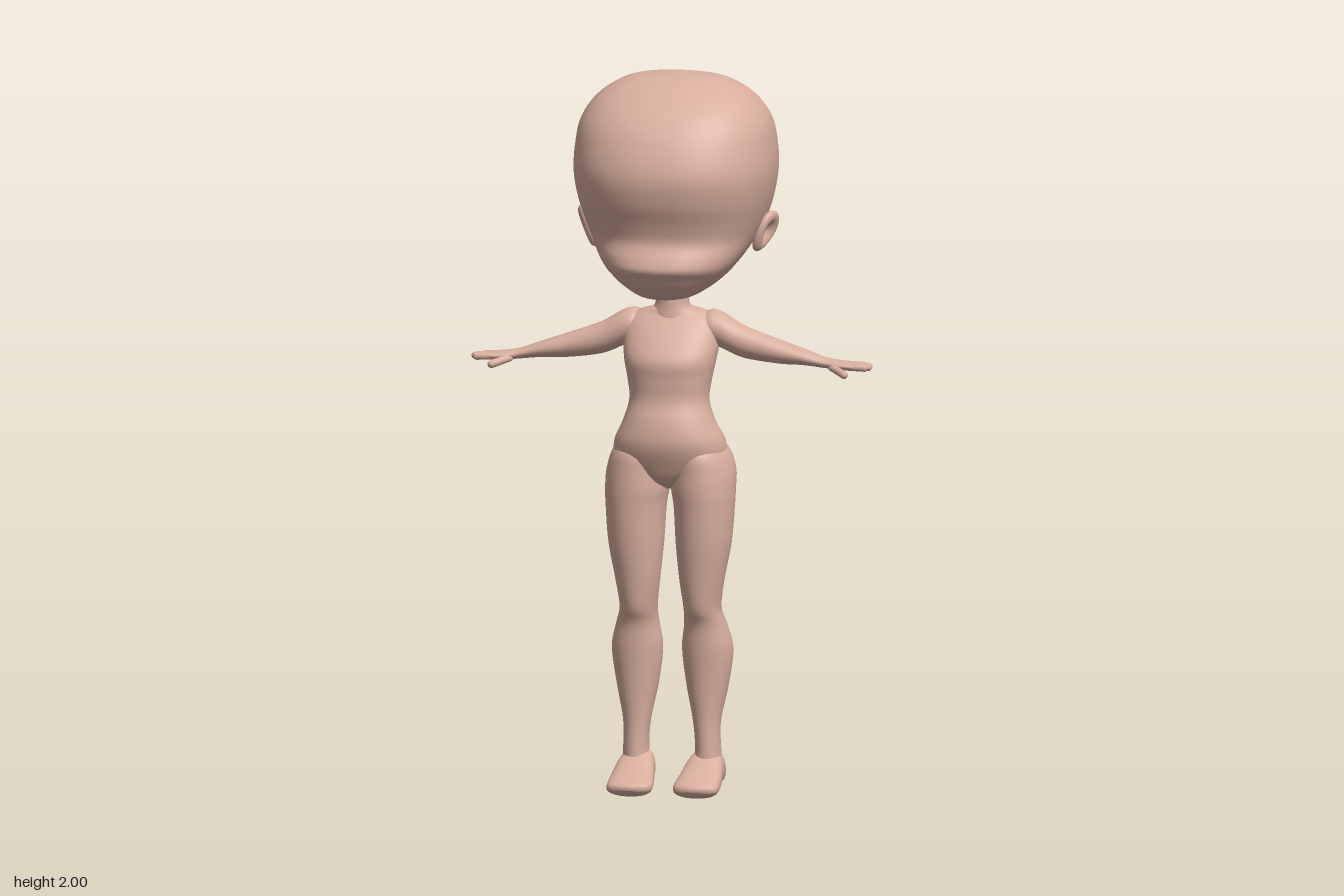
import * as THREE from 'three';

const skin = new THREE.MeshStandardMaterial({ color: 0xd8ae9e });
skin.name = 'skin';

// Catmull-Rom blend of four numbers
const spline = (a, b, c, d, t) =>
  b + 0.5 * t * (c - a + t * (2 * a - 5 * b + 4 * c - d + t * (3 * (b - c) + d - a)));

// Smooth closed skin through sections [t, aMin, aMax, bMin, bMax] with t ascending.
// Axis 'y' uses (a, b) = (z, x); 'x' uses (y, z); 'z' uses (x, y).
function loft(axis, rows, power = 2, sides = 40, steps = 5) {
  const place = {
    x: (t, a, b) => [t, a, b],
    y: (t, a, b) => [b, t, a],
    z: (t, a, b) => [a, b, t],
  }[axis];
  const last = rows.length - 1, pos = [], idx = [];
  const row = (i) => rows[Math.min(last, Math.max(0, i))];
  const rings = last * steps + 1;
  const round = (v) => Math.sign(v) * Math.abs(v) ** (2 / power);
  for (let r = 0; r < rings; r++) {
    const i = Math.min(last - 1, Math.floor(r / steps)), f = r / steps - i;
    const [t, a0, a1, b0, b1] = row(i).map((v, k) =>
      spline(row(i - 1)[k], v, row(i + 1)[k], row(i + 2)[k], f));
    for (let s = 0; s < sides; s++) {
      const u = (s / sides) * Math.PI * 2;
      pos.push(...place(t,
        (a0 + a1) / 2 + round(Math.cos(u)) * (a1 - a0) / 2,
        (b0 + b1) / 2 + round(Math.sin(u)) * (b1 - b0) / 2));
    }
  }
  for (let r = 0; r < rings - 1; r++) {
    for (let s = 0; s < sides; s++) {
      const n = (s + 1) % sides, p = r * sides, q = p + sides;
      idx.push(p + s, p + n, q + n, p + s, q + n, q + s);
    }
  }
  // End caps
  for (const [t, a0, a1, b0, b1, end] of [[...rows[0], 0], [...rows[last], 1]]) {
    const c = pos.length / 3, p = end ? (rings - 1) * sides : 0;
    pos.push(...place(t, (a0 + a1) / 2, (b0 + b1) / 2));
    for (let s = 0; s < sides; s++) {
      const n = (s + 1) % sides;
      idx.push(c, p + (end ? s : n), p + (end ? n : s));
    }
  }
  const g = new THREE.BufferGeometry();
  g.setAttribute('position', new THREE.Float32BufferAttribute(pos, 3));
  g.setIndex(idx);
  g.computeVertexNormals();
  return g;
}

// Sections symmetric in x: [y, zBack, zFront, halfWidth]
const symmetric = (rows) => rows.map(([y, z0, z1, w]) => [y, z0, z1, -w, w]);

// Copy of a geometry reflected across x = 0
function mirrored(geo) {
  const g = geo.clone().scale(-1, 1, 1), ix = g.index.array;
  for (let i = 0; i < ix.length; i += 3) [ix[i], ix[i + 1]] = [ix[i + 1], ix[i]];
  g.computeVertexNormals();
  return g;
}

// Rounded finger between two points
function finger(from, to, radius) {
  const a = new THREE.Vector3(...from), d = new THREE.Vector3(...to).sub(a);
  const g = new THREE.CapsuleGeometry(radius, d.length(), 5, 12);
  g.applyQuaternion(new THREE.Quaternion().setFromUnitVectors(
    new THREE.Vector3(0, 1, 0), d.clone().normalize()));
  return g.translate(a.x + d.x / 2, a.y + d.y / 2, a.z + d.z / 2);
}

// Hollowed ear, tapering to the lobe
function earGeometry() {
  const g = new THREE.SphereGeometry(1, 32, 24), p = g.attributes.position;
  for (let i = 0; i < p.count; i++) {
    const x = p.getX(i), y = p.getY(i), z = p.getZ(i);
    if (x > 0) p.setX(i, x * (1 - 1.3 * Math.exp(-3.5 * (y * y + z * z))));
    p.setZ(i, z * (1 + 0.25 * y));
  }
  g.scale(0.022, 0.062, 0.04);
  g.rotateY(-0.35).rotateX(-0.3).rotateZ(-0.45).translate(0.25, 1.56, -0.008);
  g.computeVertexNormals();
  return g;
}

export function createModel() {
  const model = new THREE.Group();
  model.name = 'doll';
  const add = (name, geo) => {
    const mesh = new THREE.Mesh(geo, skin);
    mesh.name = name;
    model.add(mesh);
  };
  const pair = (name, geo) => {
    add('left' + name, geo);
    add('right' + name, mirrored(geo));
  };

  // Large head with a soft muzzle and round cranium
  add('head', loft('y', symmetric([
    [1.383, 0.15, 0.16, 0.005],
    [1.392, 0.05, 0.2, 0.07],
    [1.42, -0.02, 0.228, 0.122],
    [1.45, -0.075, 0.248, 0.158],
    [1.475, -0.115, 0.265, 0.18],
    [1.505, -0.155, 0.258, 0.202],
    [1.55, -0.205, 0.24, 0.228],
    [1.6, -0.25, 0.252, 0.25],
    [1.66, -0.277, 0.276, 0.268],
    [1.73, -0.29, 0.288, 0.279],
    [1.8, -0.28, 0.272, 0.276],
    [1.87, -0.245, 0.235, 0.262],
    [1.93, -0.19, 0.175, 0.222],
    [1.97, -0.13, 0.105, 0.165],
    [1.99, -0.08, 0.045, 0.105],
    [2.0, -0.022, -0.018, 0.002],
  ]), 2.3, 64));
  pair('Ear', earGeometry());

  add('neck', loft('y', symmetric([
    [1.31, -0.015, 0.1, 0.075],
    [1.35, -0.004, 0.095, 0.052],
    [1.38, 0, 0.094, 0.045],
    [1.45, 0, 0.094, 0.045],
  ])));

  // Torso from hips to shoulders
  add('torso', loft('y', symmetric([
    [0.85, 0.05, 0.1, 0.02],
    [0.875, 0, 0.15, 0.08],
    [0.92, -0.035, 0.176, 0.15],
    [0.98, -0.04, 0.197, 0.155],
    [1.04, -0.01, 0.192, 0.128],
    [1.1, 0.003, 0.174, 0.111],
    [1.16, -0.008, 0.175, 0.118],
    [1.21, -0.022, 0.176, 0.128],
    [1.26, -0.03, 0.148, 0.134],
    [1.31, -0.03, 0.11, 0.132],
    [1.335, -0.02, 0.09, 0.105],
    [1.35, -0.005, 0.085, 0.06],
    [1.362, 0.03, 0.06, 0.02],
  ]), 2.2, 48));

  // Legs with full thigh, knee, calf and ankle
  pair('Leg', loft('y', [
    [0.03, 0.01, 0.09, 0.06, 0.135],
    [0.07, -0.004, 0.1, 0.057, 0.14],
    [0.12, 0.004, 0.1, 0.066, 0.137],
    [0.2, 0.008, 0.1, 0.06, 0.137],
    [0.3, -0.015, 0.106, 0.04, 0.157],
    [0.4, -0.022, 0.115, 0.028, 0.17],
    [0.47, -0.008, 0.122, 0.036, 0.155],
    [0.52, 0.004, 0.142, 0.038, 0.142],
    [0.6, 0.012, 0.155, 0.028, 0.153],
    [0.7, -0.005, 0.168, 0.018, 0.172],
    [0.8, -0.02, 0.175, 0.012, 0.18],
    [0.85, -0.03, 0.178, 0.004, 0.182],
    [0.9, -0.054, 0.177, 0.002, 0.18],
    [0.95, -0.05, 0.172, 0.006, 0.165],
    [0.985, -0.005, 0.14, 0.035, 0.14],
    [1.0, 0.06, 0.1, 0.08, 0.11],
  ]));
  pair('Foot', loft('z', [
    [-0.012, 0.09, 0.11, 0.04, 0.05],
    [-0.005, 0.065, 0.137, 0.02, 0.078],
    [0.03, 0.052, 0.145, 0.01, 0.12],
    [0.08, 0.043, 0.15, 0.012, 0.11],
    [0.13, 0.035, 0.156, 0.004, 0.08],
    [0.18, 0.03, 0.157, 0, 0.055],
    [0.21, 0.042, 0.148, 0.01, 0.044],
    [0.222, 0.08, 0.11, 0.022, 0.032],
  ], 2.4));

  // Arm running into the flat palm
  pair('Arm', loft('x', [
    [0.07, 1.285, 1.305, 0.03, 0.05],
    [0.1, 1.25, 1.342, -0.018, 0.085],
    [0.14, 1.237, 1.337, -0.014, 0.09],
    [0.2, 1.213, 1.303, -0.002, 0.087],
    [0.3, 1.2, 1.267, 0.005, 0.086],
    [0.37, 1.198, 1.243, 0.01, 0.083],
    [0.43, 1.192, 1.222, 0.019, 0.077],
    [0.47, 1.189, 1.215, 0.012, 0.086],
    [0.505, 1.19, 1.211, 0.011, 0.088],
    [0.525, 1.194, 1.207, 0.018, 0.082],
    [0.532, 1.199, 1.202, 0.04, 0.06],
  ]));
  [[0.018, 0.535], [0.038, 0.552], [0.058, 0.555], [0.077, 0.547]].forEach(([z, tip], i) =>
    pair('Finger' + (i + 1), finger([0.49, 1.2, z], [tip, 1.198, z], 0.0095)));
  pair('Thumb', finger([0.455, 1.197, 0.072], [0.497, 1.183, 0.112], 0.011));

  return model;
}
